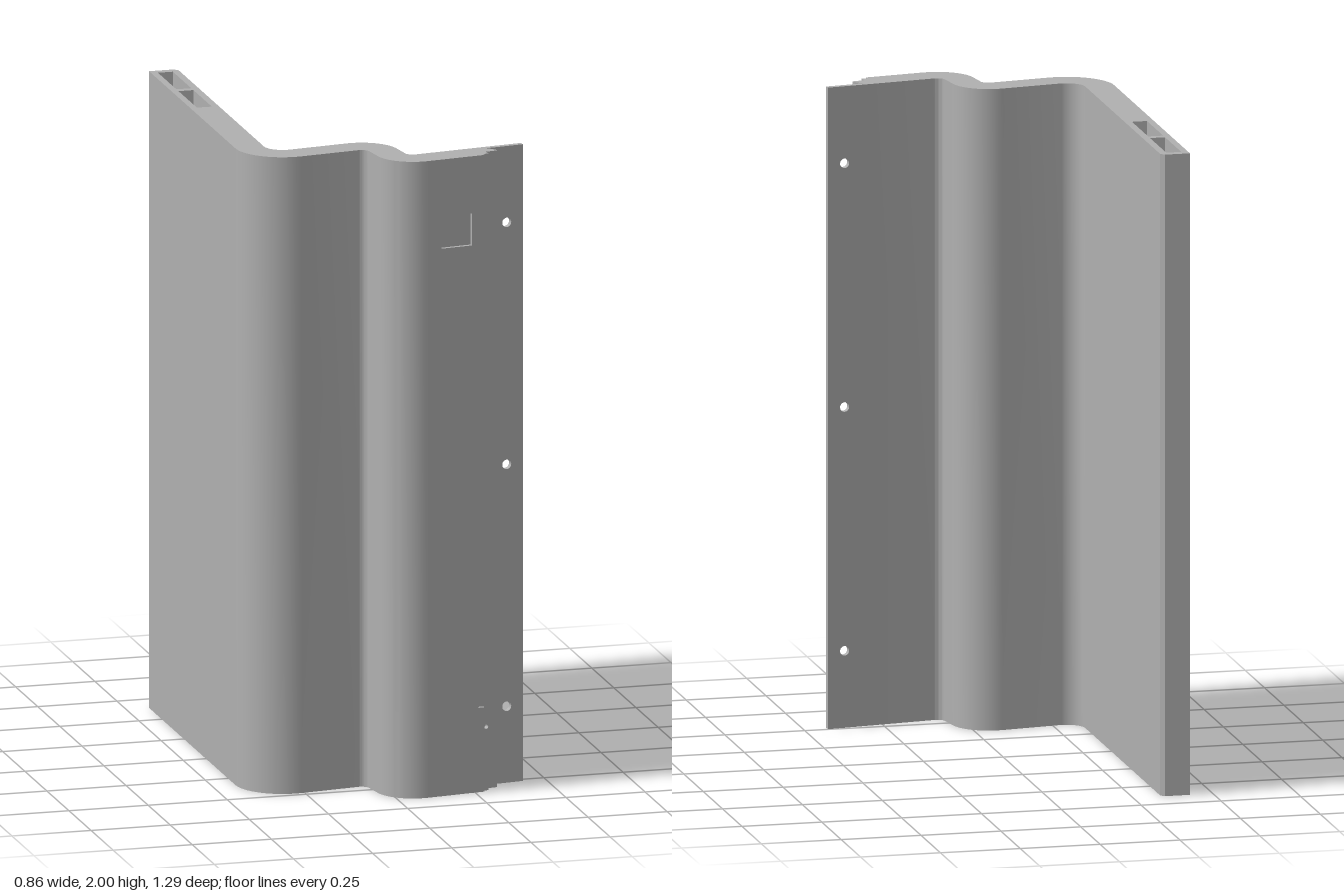
import * as THREE from 'three';
import { toCreasedNormals } from 'three/addons/utils/BufferGeometryUtils.js';

const H = 2, TILT = 0.1416, Q = Math.PI / 2;
const C1 = [-0.28, 0.335], C2 = [-0.07, 0.48], C3 = [0.078, 0.527]; // bend centres (x, z)

// points of a bend in plan, as (x, z)
function bend([cx, cz], r, from, to, n = 14) {
  return Array.from({ length: n + 1 }, (_, i) => {
    const a = from + (to - from) * i / n;
    return [cx + r * Math.cos(a), cz + r * Math.sin(a)];
  });
}

// point in the tilted front leaf: u along it, v towards the front
function leaf(u, v) {
  const c = Math.cos(TILT), s = Math.sin(TILT);
  return [C3[0] + u * c + v * s, C3[1] - u * s + v * c];
}

function polygon(points, Type = THREE.Shape) {
  return new Type(points.map(([x, y]) => new THREE.Vector2(x, y)));
}

function rect(x0, y0, x1, y1) {
  return polygon([[x0, y0], [x1, y0], [x1, y1], [x0, y1]], THREE.Path);
}

function circle(x, y, r) {
  return new THREE.Path().absarc(x, y, r, 0, Math.PI * 2, true);
}

function extrude(shape, depth) {
  const geo = new THREE.ExtrudeGeometry(shape, { depth, bevelEnabled: false, curveSegments: 12 });
  return toCreasedNormals(geo, 0.5);
}

export function createModel() {
  const group = new THREE.Group();
  const grey = new THREE.MeshStandardMaterial({ color: 0xb0b0b0 });
  grey.name = 'grey';

  // Bent profile: side wall, two S bends and stepped edge
  const plan = [
    [-0.428, -0.645],
    ...bend(C1, 0.148, Math.PI, Q - TILT),
    ...bend(C2, 0.025, -Q - TILT, -TILT),
    ...bend(C3, 0.115, Math.PI - TILT, Q - TILT),
    leaf(0, 0.082), leaf(0.202, 0.082), leaf(0.246, 0.0795),
    leaf(0.245, 0.068), leaf(0.227, 0.0425), leaf(0.227, 0.025),
    ...bend(C3, 0.025, Q - TILT, Math.PI - TILT),
    ...bend(C2, 0.115, -TILT, -Q - TILT),
    ...bend(C1, 0.058, Q - TILT, Math.PI),
    [-0.338, -0.632], [-0.35, -0.645],
  ];
  const profile = polygon(plan.map(([x, z]) => [x, -z]));
  // Two slots running the full height of the wall
  profile.holes.push(rect(-0.407, 0.41, -0.36, 0.619), rect(-0.407, 0.177, -0.36, 0.386));
  const body = new THREE.Mesh(extrude(profile, H).rotateX(-Q), grey);
  body.name = 'bentPanel';
  group.add(body);

  // Plates lying in the tilted front leaf
  const front = new THREE.Group();
  front.name = 'frontLeaf';
  front.position.set(C3[0], 0, C3[1]);
  front.rotation.y = TILT;
  group.add(front);

  function plate(name, outline, holes, v0, v1) {
    const shape = polygon(outline);
    shape.holes.push(...holes);
    const mesh = new THREE.Mesh(extrude(shape, v1 - v0), grey);
    mesh.position.z = v0;
    mesh.name = name;
    front.add(mesh);
  }

  // Fixing flange with three screw holes
  plate('fixingFlange', [[0.227, 0], [0.348, 0], [0.348, H], [0.227, H]],
    [0.24, 1, 1.76].map((y) => circle(0.294, y, 0.015)), 0.025, 0.0425);

  // Ledge with a small pin hole
  plate('edgeLedge', [[0, 0], [0.207, 0], [0.207, H], [0, H]],
    [circle(0.199, 0.2, 0.007)], 0.082, 0.103);

  // Front skin with a square recess and a long edge notch
  plate('frontSkin',
    [[0, 0], [0.189, 0], [0.189, 0.265], [0.168, 0.265], [0.168, 1], [0.189, 1], [0.189, H], [0, H]],
    [rect(0.046, 1.72, 0.147, 1.82)], 0.103, 0.115);

  return group;
}
